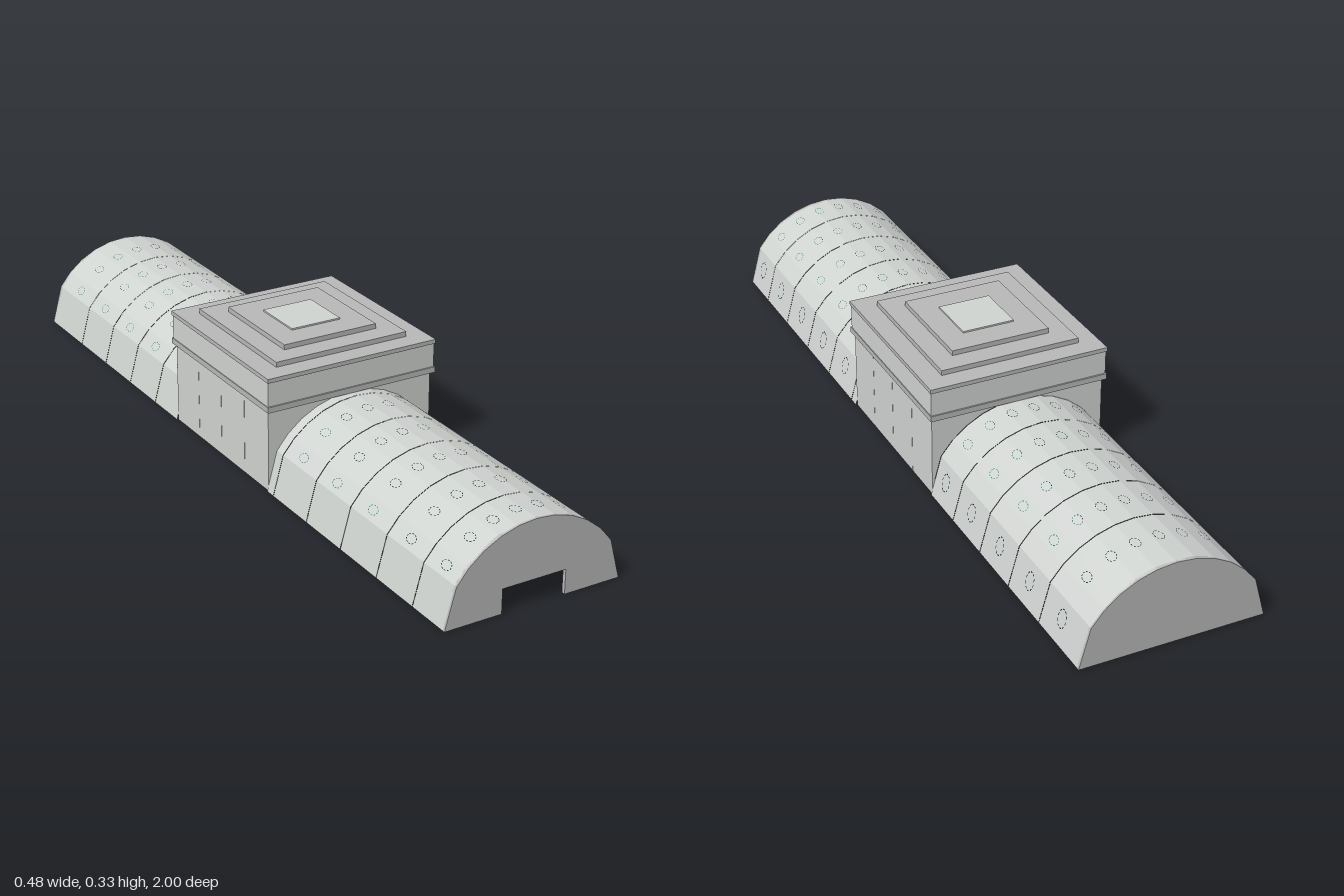
import * as THREE from 'three';
import { mergeGeometries } from 'three/addons/utils/BufferGeometryUtils.js';

const material = (name, color, side = THREE.FrontSide) => {
  const m = new THREE.MeshStandardMaterial({ color, side });
  m.name = name;
  return m;
};

// Half-open vault outline from right foot over the crown to the left foot
function vaultProfile() {
  const R = 0.2497, cy = -0.0367, end = Math.asin(0.207 / R), n = 10;
  const pts = [new THREE.Vector2(0.235, 0)];
  for (let i = 0; i <= n; i++) {
    const a = end * (1 - (2 * i) / n);
    pts.push(new THREE.Vector2(R * Math.sin(a), cy + R * Math.cos(a)));
  }
  pts.push(new THREE.Vector2(-0.235, 0));
  return pts;
}

// Flat facets of one vault bay between two z positions
function bayGeometry(profile, z0, z1) {
  const pos = [];
  for (let i = 0; i < profile.length - 1; i++) {
    const a = profile[i], b = profile[i + 1];
    pos.push(a.x, a.y, z0, b.x, b.y, z0, b.x, b.y, z1);
    pos.push(a.x, a.y, z0, b.x, b.y, z1, a.x, a.y, z1);
  }
  const g = new THREE.BufferGeometry();
  g.setAttribute('position', new THREE.Float32BufferAttribute(pos, 3));
  g.computeVertexNormals();
  return g;
}

// Rectangular ring lying flat, open in the middle
function frameGeometry(hx, hz, ix, iz, y0, y1) {
  const rect = (C, x, z) => {
    const p = new C();
    p.moveTo(-x, -z).lineTo(x, -z).lineTo(x, z).lineTo(-x, z).closePath();
    return p;
  };
  const s = rect(THREE.Shape, hx, hz);
  s.holes.push(rect(THREE.Path, ix, iz));
  return new THREE.ExtrudeGeometry(s, { depth: y1 - y0, bevelEnabled: false })
    .rotateX(-Math.PI / 2).translate(0, y0, 0);
}

// Dashed oval outline in the xy plane
function ovalGeometry(rx, ry) {
  const dashes = [];
  for (let i = 0; i < 10; i++) {
    dashes.push(new THREE.RingGeometry(0.88, 1, 2, 1, (i * Math.PI) / 5, Math.PI / 9));
  }
  return mergeGeometries(dashes).scale(rx, ry, 1);
}

export function createModel() {
  const model = new THREE.Group();
  const pale = material('palePanel', 0xd0d4d1, THREE.DoubleSide);
  const grey = material('greyStone', 0xb8b8b8, THREE.DoubleSide);
  const teal = material('tealTrim', 0x1f7a68, THREE.DoubleSide);
  const add = (name, geometry, mat, parent = model) => {
    const m = new THREE.Mesh(geometry, mat);
    m.name = name;
    parent.add(m);
    return m;
  };
  const profile = vaultProfile();

  // Vaulted halls, split into bays by hairline joints
  const bays = {
    frontHall: [0.235, 0.265, 0.42, 0.573, 0.727, 0.875, 0.995],
    backHall: [-0.995, -0.81, -0.657, -0.507, -0.36, -0.235],
  };
  for (const [name, zs] of Object.entries(bays)) {
    const parts = [];
    for (let i = 0; i < zs.length - 1; i++) {
      parts.push(bayGeometry(profile, zs[i], zs[i + 1] - 0.001));
    }
    add(name, mergeGeometries(parts), pale);
  }

  // End walls: doorway in the front one, back one closed
  const doorway = [[-0.235, 0], [-0.085, 0], [-0.085, 0.063], [0.085, 0.063], [0.085, 0]];
  const endWall = (name, points, z) => add(name,
    new THREE.ExtrudeGeometry(new THREE.Shape(points), { depth: 0.01, bevelEnabled: false })
      .translate(0, 0, z), grey);
  const arch = profile.slice(0, -1);
  endWall('frontEndWall', [...arch, ...doorway.map(([x, y]) => new THREE.Vector2(x, y))], 0.99);
  endWall('backEndWall', profile, -1);

  // Dashed oval lights on the vault facets
  const lightZ = [0.94, 0.802, 0.645, 0.49, 0.338, -0.29, -0.434, -0.585, -0.737, -0.893];
  const ovals = [];
  for (let c = 0; c < 8; c++) {
    const x = -0.191 + c * 0.0585;
    const i = profile.findIndex((p, k) => k < profile.length - 1 && p.x >= x && x >= profile[k + 1].x);
    const a = profile[i], b = profile[i + 1];
    const y = a.y + ((b.y - a.y) * (a.x - x)) / (a.x - b.x);
    const t = new THREE.Vector3(b.x - a.x, b.y - a.y, 0).normalize();
    const n = new THREE.Vector3(t.y, -t.x, 0);
    for (const z of lightZ) {
      const m = new THREE.Matrix4().makeBasis(t, new THREE.Vector3(0, 0, 1), n);
      m.setPosition(x + n.x * 0.002, y + n.y * 0.002, z);
      ovals.push(ovalGeometry(c === 7 ? 0.024 : 0.012, 0.018).applyMatrix4(m));
    }
  }
  add('ovalLights', mergeGeometries(ovals), teal);

  // Central pavilion: side walls in four panels, arched walls front and back
  const pavilion = new THREE.Group();
  pavilion.name = 'pavilion';
  model.add(pavilion);
  for (const s of [1, -1]) {
    for (let i = 0; i < 4; i++) {
      add('sideWallPanel', new THREE.BoxGeometry(0.008, 0.213, 0.1165)
        .translate(s * 0.227, 0.1065, (i - 1.5) * 0.1175), pale, pavilion);
    }
    const spandrel = [new THREE.Vector2(s * 0.231, 0.0147)];
    for (let i = 1; i <= 6; i++) spandrel.push(new THREE.Vector2(s * profile[i].x, profile[i].y));
    spandrel.push(new THREE.Vector2(s * 0.231, 0.2135));
    for (const z of [0.227, -0.235]) {
      add('archWall', new THREE.ExtrudeGeometry(new THREE.Shape(spandrel), { depth: 0.008, bevelEnabled: false })
        .translate(0, 0, z), pale, pavilion);
    }
  }
  add('lowerCornice', frameGeometry(0.238, 0.247, 0.222, 0.228, 0.213, 0.228), grey, pavilion);
  add('upperWall', frameGeometry(0.236, 0.243, 0.226, 0.233, 0.228, 0.291), pale, pavilion);

  // Stepped roof, open underneath, closed by a pale plate
  const steps = [[0.238, 0.247, 0.291, 0.302], [0.185, 0.195, 0.302, 0.315], [0.131, 0.14, 0.315, 0.328]];
  steps.forEach(([hx, hz, y0, y1], i) => {
    const [ix, iz] = steps[i + 1] || [0.069, 0.071];
    add('roofStep', frameGeometry(hx, hz, ix - 0.006, iz - 0.006, y0, y1), grey, pavilion);
  });
  add('roofPlate', new THREE.BoxGeometry(0.138, 0.004, 0.142).translate(0, 0.33, 0), pale, pavilion);

  return model;
}
